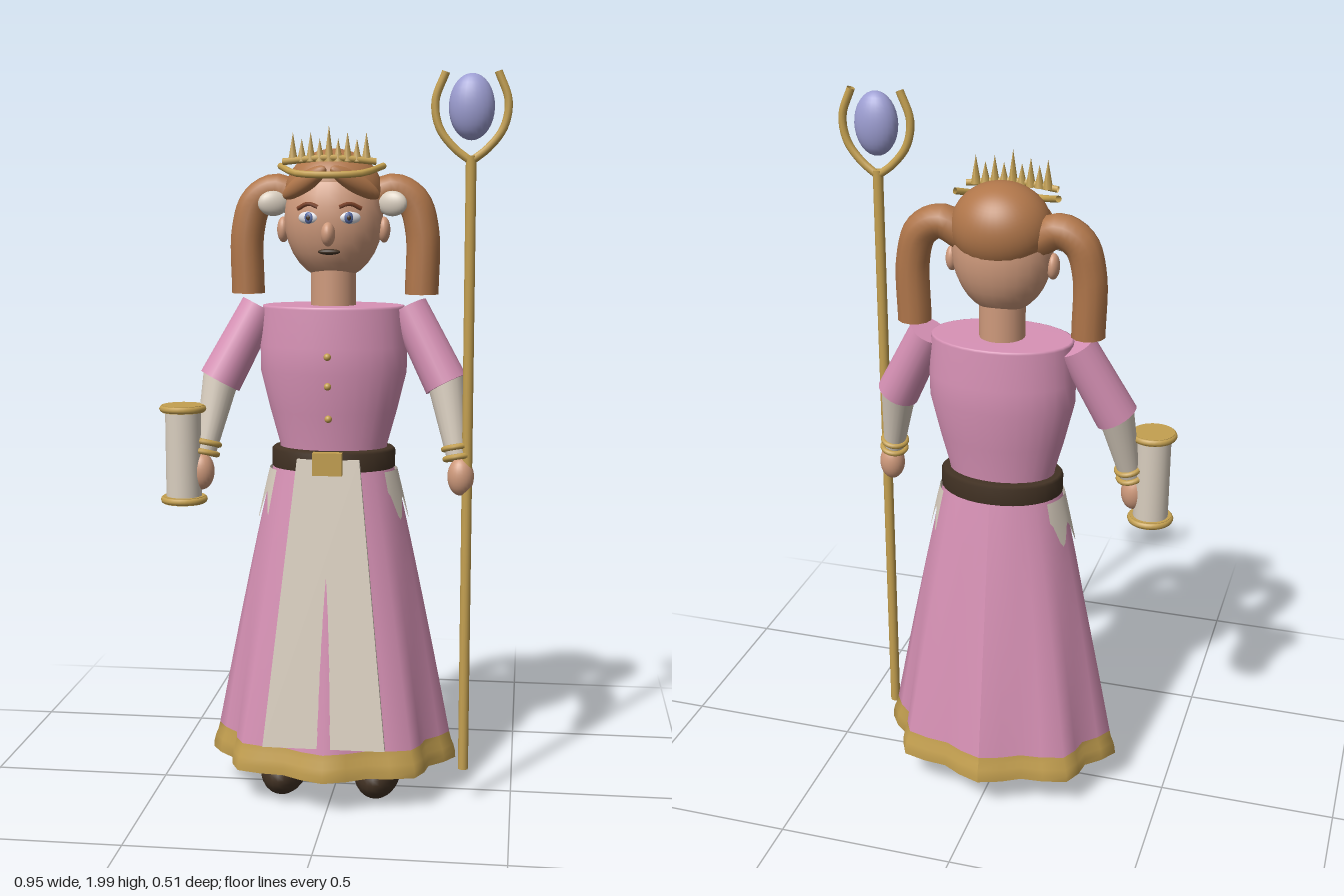
import * as THREE from 'three';

const mat = (name, color, side = THREE.FrontSide) => {
  const m = new THREE.MeshStandardMaterial({ color, side });
  m.name = name;
  return m;
};
const V = (x, y, z) => new THREE.Vector3(x, y, z);

export function createModel() {
  const pink = mat('pink cloth', 0xd892b6, THREE.DoubleSide);
  const gold = mat('gold', 0xc4a050, THREE.DoubleSide);
  const hair = mat('hair brown', 0xb0764a, THREE.DoubleSide);
  const skin = mat('skin', 0xcf9a7c);
  const cream = mat('cream cloth', 0xd9cebf, THREE.DoubleSide);
  const dark = mat('dark leather', 0x423224);
  const violet = mat('violet crystal', 0x9d9ed2);
  const white = mat('eye white', 0xe8e8ee);
  const blue = mat('iris blue', 0x5468a0);
  const brow = mat('brow brown', 0x7c4228);

  const model = new THREE.Group();
  const body = new THREE.Group();
  body.name = 'figure';
  body.position.x = -0.006;
  model.add(body);

  const add = (name, geo, material, p = [0, 0, 0], parent = body) => {
    const m = new THREE.Mesh(geo, material);
    m.name = name;
    m.position.set(...p);
    parent.add(m);
    return m;
  };
  const ball = (name, p, r, material, parent = body) => {
    const m = add(name, new THREE.SphereGeometry(1, 24, 16), material, p, parent);
    m.scale.set(...r);
    return m;
  };
  // tapered cylinder from a to b
  const limb = (name, a, b, ra, rb, material, sides = 20) => {
    const d = b.clone().sub(a);
    const m = add(name, new THREE.CylinderGeometry(rb, ra, d.length(), sides), material);
    m.position.copy(a).addScaledVector(d, 0.5);
    m.quaternion.setFromUnitVectors(V(0, 1, 0), d.normalize());
    return m;
  };
  const tube = (name, pts, r, material, seg = 20, sides = 10, parent = body) =>
    add(name, new THREE.TubeGeometry(new THREE.CatmullRomCurve3(pts.map(p => V(...p))), seg, r, sides), material, [0, 0, 0], parent);
  const lathe = (name, pts, squash, material, sides = 32) => {
    const m = add(name, new THREE.LatheGeometry(pts.map(p => new THREE.Vector2(...p)), sides), material);
    m.scale.z = squash;
    return m;
  };
  const surface = (fn, nu, nv) => {
    const g = new THREE.PlaneGeometry(1, 1, nu, nv);
    const p = g.attributes.position;
    for (let i = 0; i < p.count; i++) p.setXYZ(i, ...fn(p.getX(i) + 0.5, p.getY(i) + 0.5));
    g.computeVertexNormals();
    return g;
  };

  // skirt with eight folds that deepen towards the hem
  const skirtAt = (a, y, off = 0) => {
    const t = (0.95 - y) / 0.85;
    const f = 1 - 0.07 * t * (1 - Math.cos(8 * a));
    return [Math.sin(a) * ((0.165 + 0.18 * t ** 0.92) * f + off), y, Math.cos(a) * ((0.125 + 0.125 * t) * f + off)];
  };
  const turn = u => (u - 0.5) * Math.PI * 2;
  add('skirt', surface((u, v) => skirtAt(turn(u), 0.105 + 0.845 * v), 32, 12), pink);
  add('skirtUnderside', surface((u, v) => {
    const [x, , z] = skirtAt(turn(u), 0.105);
    return [x * (1 - v), 0.105, z * (1 - v)];
  }, 32, 1), pink);
  add('hemTrim', surface((u, v) => skirtAt(turn(u), 0.1 + 0.075 * v, 0.006 * Math.sin(Math.PI * Math.min(1, v + 0.2))), 32, 4), gold);

  // flat front apron; the middle skirt fold pushes through it
  const apron = new THREE.BoxGeometry(1, 1, 1);
  const ap = apron.attributes.position;
  for (let i = 0; i < ap.count; i++) {
    const t = 0.5 - ap.getY(i);
    ap.setXYZ(i, ap.getX(i) * (0.17 + 0.165 * t), 0.97 - 0.78 * t, 0.126 + 0.105 * t + (ap.getZ(i) - 0.5) * 0.015);
  }
  apron.computeVertexNormals();
  add('apron', apron, cream);

  // jagged cloth over each hip
  for (const s of [-1, 1]) {
    add('hipCloth', surface((u, v) => {
      const low = 0.815 + 0.035 * Math.cos(u * Math.PI * 5) + 0.05 * Math.abs(u - 0.5);
      return skirtAt(s * Math.PI / 2 + (u - 0.5) * 1.15, low + (0.93 - low) * v, 0.007);
    }, 20, 4), cream);
  }

  // bodice, belt, buckle and buttons
  lathe('bodice', [[0.143, 0.95], [0.15, 1], [0.175, 1.09], [0.202, 1.2], [0.203, 1.27], [0.196, 1.374], [0.195, 1.38], [0.19, 1.381], [0, 1.381]], 0.66, pink);
  lathe('belt', [[0.14, 0.93], [0.165, 0.93], [0.172, 0.937], [0.172, 0.983], [0.165, 0.99], [0.13, 0.99]], 0.75, dark);
  add('buckle', new THREE.BoxGeometry(0.08, 0.062, 0.025), gold, [0, 0.96, 0.132]);
  [[1.25, 0.135], [1.17, 0.131], [1.08, 0.116]].forEach(([y, z]) => ball('button', [0, y, z], [0.01, 0.01, 0.01], gold));

  // neck and head
  add('neck', new THREE.CylinderGeometry(0.062, 0.062, 0.14, 24), skin, [0, 1.44, 0]);
  ball('head', [0, 1.615, 0], [0.135, 0.167, 0.11], skin);
  ball('nose', [0, 1.575, 0.118], [0.019, 0.032, 0.028], skin);
  const mouth = ball('mouth', [0, 1.528, 0.096], [0.03, 0.008, 0.012], dark);
  mouth.name = 'mouth';
  const cap = add('hairCap', new THREE.SphereGeometry(1, 32, 18, 0, Math.PI * 2, 0, Math.PI * 0.55), hair, [0, 1.682, -0.008]);
  cap.scale.set(0.134, 0.12, 0.118);
  cap.rotation.x = -0.42;

  for (const s of [-1, 1]) {
    // face details
    ball('eye', [s * 0.056, 1.618, 0.094], [0.029, 0.017, 0.012], white).rotation.y = s * 0.35;
    ball('iris', [s * 0.054, 1.618, 0.103], [0.013, 0.015, 0.006], blue).rotation.y = s * 0.35;
    ball('pupil', [s * 0.054, 1.618, 0.108], [0.006, 0.007, 0.003], dark);
    tube('eyebrow', [[s * 0.028, 1.646, 0.108], [s * 0.055, 1.655, 0.1], [s * 0.085, 1.642, 0.086]], 0.006, brow, 8, 6);
    ball('ear', [s * 0.138, 1.585, 0.0], [0.017, 0.035, 0.025], skin);

    // fringe, hair tie and pigtail
    const lock = ball('fringe', [s * 0.068, 1.71, 0.083], [0.08, 0.026, 0.022], hair);
    lock.rotation.set(0, s * 0.5, s * -0.5);
    ball('hairTie', [s * 0.162, 1.655, 0.022], [0.042, 0.034, 0.02], cream).rotation.y = s * -0.3;
    const path = [[0.1, 1.66, -0.02], [0.16, 1.69, -0.025], [0.215, 1.66, -0.025], [0.24, 1.58, -0.022], [0.24, 1.41, -0.02]];
    tube('pigtail', path.map(([x, y, z]) => [s * x, y, z]), 0.046, hair, 24, 12);
    const end = add('pigtailEnd', new THREE.CircleGeometry(0.046, 12), hair, [s * 0.24, 1.41, -0.02]);
    end.rotation.x = Math.PI / 2;

    // arm
    const elbow = V(s * 0.312, 1.17, 0.032), wrist = V(s * 0.348, 0.97, 0.077);
    limb('sleeve', V(s * 0.205, 1.375, -0.004), elbow, 0.053, 0.06, pink);
    limb('forearm', elbow.clone().add(V(s * -0.006, 0.03, -0.006)), wrist, 0.052, 0.028, cream);
    for (const k of [0.84, 0.97]) {
      const ring = add('bracelet', new THREE.TorusGeometry(0.033, 0.008, 8, 24), gold);
      ring.position.lerpVectors(elbow, wrist, k);
      ring.quaternion.setFromUnitVectors(V(0, 0, 1), wrist.clone().sub(elbow).normalize());
    }
    ball('hand', [s * 0.357, 0.925, 0.084], [0.036, 0.052, 0.034], skin);

    // shoe
    ball('shoe', [s * 0.132, 0.075, 0.06], [0.066, 0.07, 0.13], dark);
  }

  // tiara: lower curved band, upper bar and spikes
  tube('tiaraBand', [[-0.14, 1.755, 0.035], [-0.09, 1.735, 0.1], [0, 1.73, 0.128], [0.09, 1.735, 0.1], [0.14, 1.755, 0.035]], 0.009, gold, 12, 8);
  tube('tiaraBar', [[-0.125, 1.765, 0.088], [0, 1.775, 0.1], [0.125, 1.765, 0.088]], 0.009, gold, 12, 8);
  for (let i = -4; i <= 4; i++) {
    const h = i === 0 ? 0.095 : i % 2 ? 0.06 : 0.077;
    add('tiaraSpike', new THREE.ConeGeometry(0.014, h, 6), gold, [i * 0.0245, 1.765 + h / 2, 0.098 - 0.0008 * i * i]);
  }

  // staff with forked head and crystal
  const staff = new THREE.Group();
  staff.name = 'staff';
  staff.position.set(0.368, 0, 0.088);
  model.add(staff);
  add('staffPole', new THREE.CylinderGeometry(0.014, 0.014, 1.68, 16), gold, [0, 0.94, 0], staff);
  for (const s of [-1, 1]) {
    tube('staffProng', [[0, 1.765, 0], [s * 0.045, 1.8, 0], [s * 0.084, 1.852, 0], [s * 0.095, 1.92, 0], [s * 0.068, 1.995, 0]], 0.011, gold, 20, 10, staff);
  }
  ball('crystal', [0, 1.905, 0], [0.06, 0.086, 0.043], violet, staff);

  // scroll with capped ends
  const scroll = new THREE.Group();
  scroll.name = 'scroll';
  scroll.position.set(-0.411, 0, 0.092);
  model.add(scroll);
  add('scrollRoll', new THREE.CylinderGeometry(0.049, 0.049, 0.25, 28), cream, [0, 0.973, 0], scroll);
  for (const y of [0.847, 1.1]) {
    add('scrollCap', new THREE.CylinderGeometry(0.058, 0.058, 0.02, 28), gold, [0, y, 0], scroll);
    add('scrollRim', new THREE.TorusGeometry(0.055, 0.01, 8, 28), gold, [0, y, 0], scroll).rotation.x = Math.PI / 2;
  }
  return model;
}
